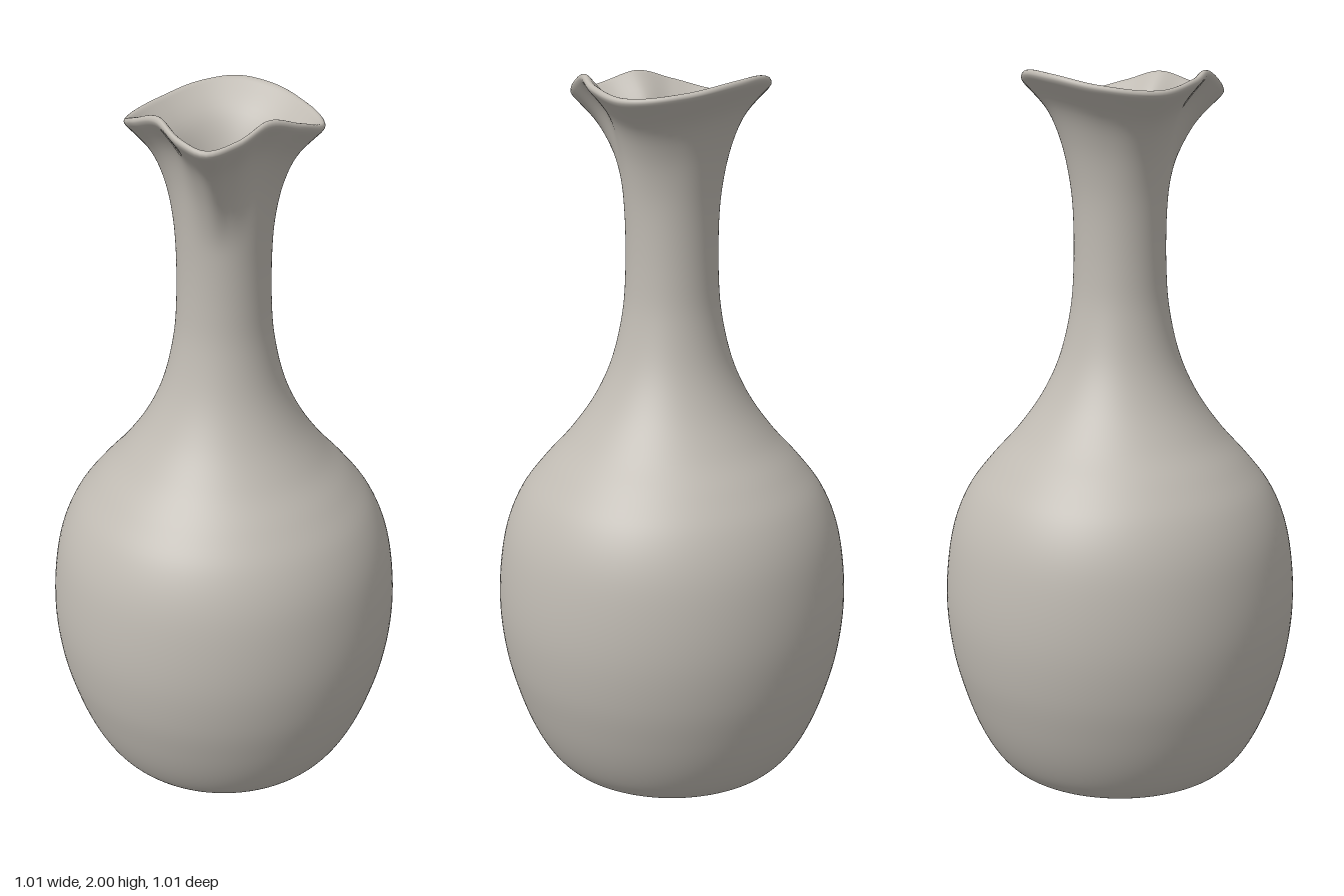
import * as THREE from 'three';
import { mergeVertices } from 'three/addons/utils/BufferGeometryUtils.js';

const SEGMENTS = 128;
const RIM_RADIUS = 0.262;
const RIM_HEIGHT = 1.95;

const toPoints = (pairs) => pairs.map(([r, y]) => new THREE.Vector2(r, y));
const smooth = (pairs, n) => new THREE.SplineCurve(toPoints(pairs)).getPoints(n);

// Rim radius and height by angle from the spout (degrees), mirrored past both ends
const rimKeys = [
  [-14, 0.289, 1.962], [0, 0.315, 1.946], [14, 0.289, 1.962], [35, 0.247, 1.996],
  [61, 0.25, 1.972], [90, 0.261, 1.943], [128, 0.257, 1.957], [158, 0.268, 1.985],
  [180, 0.273, 1.997], [202, 0.268, 1.985],
];
const rim = new THREE.CubicInterpolant(
  rimKeys.map((k) => k[0]), rimKeys.flatMap((k) => [k[1], k[2]]), 2);

// Pull the round mouth into a wavy lip with a pouring spout
function shapeLip(geometry) {
  const p = geometry.attributes.position;
  for (let i = 0; i < p.count; i++) {
    const x = p.getX(i), y = p.getY(i), z = p.getZ(i);
    const w = THREE.MathUtils.smoothstep(y, 1.62, RIM_HEIGHT + 0.02);
    const r = Math.hypot(x, z);
    if (w === 0 || r === 0) continue;
    const angle = Math.abs(Math.atan2(x, z)) * 180 / Math.PI;
    const [radius, height] = rim.evaluate(Math.min(angle, 179.99));
    const s = (r + (radius - RIM_RADIUS) * w) / r;
    p.setXYZ(i, x * s, y + (height - RIM_HEIGHT) * w, z * s);
  }
}

export function createModel() {
  const group = new THREE.Group();
  group.name = 'pitcher';
  const clay = new THREE.MeshStandardMaterial({ color: 0xbfbab2 });
  clay.name = 'warm grey clay';

  // Outside: foot, belly, neck and flare
  const outer = smooth([
    [0.31, 0], [0.345, 0.018], [0.385, 0.065], [0.425, 0.14], [0.46, 0.235],
    [0.49, 0.35], [0.505, 0.48], [0.5, 0.61], [0.478, 0.73], [0.435, 0.83],
    [0.37, 0.915], [0.293, 1.0], [0.222, 1.1], [0.171, 1.21], [0.14, 1.34],
    [0.13, 1.46], [0.13, 1.6], [0.139, 1.7], [0.16, 1.79], [0.195, 1.864],
    [0.255, 1.927],
  ], 110);

  // Rounded rim
  const lip = smooth([
    [0.255, 1.927], [0.262, 1.938], [0.258, 1.948], [0.248, 1.949], [0.238, 1.941],
  ], 10).slice(1, -1);

  // Inside: flare, throat and hollow belly
  const inner = smooth([
    [0.238, 1.941], [0.177, 1.876], [0.141, 1.8], [0.118, 1.7], [0.108, 1.6],
    [0.107, 1.46], [0.118, 1.34], [0.148, 1.21], [0.2, 1.1], [0.27, 1.0],
    [0.35, 0.905], [0.41, 0.82], [0.455, 0.72], [0.48, 0.48], [0.44, 0.25],
    [0.37, 0.09], [0.3, 0.035],
  ], 80);

  const profile = [
    new THREE.Vector2(0, 0), new THREE.Vector2(0.2, 0), new THREE.Vector2(0.28, 0),
    ...outer, ...lip, ...inner,
    new THREE.Vector2(0.2, 0.03), new THREE.Vector2(0, 0.03),
  ];

  let geometry = new THREE.LatheGeometry(profile, SEGMENTS);
  shapeLip(geometry);

  // Weld the seam so the shading runs smoothly all round
  geometry.deleteAttribute('uv');
  geometry.deleteAttribute('normal');
  geometry = mergeVertices(geometry, 1e-5);
  geometry.computeVertexNormals();

  const vessel = new THREE.Mesh(geometry, clay);
  vessel.name = 'vessel';
  group.add(vessel);
  return group;
}
